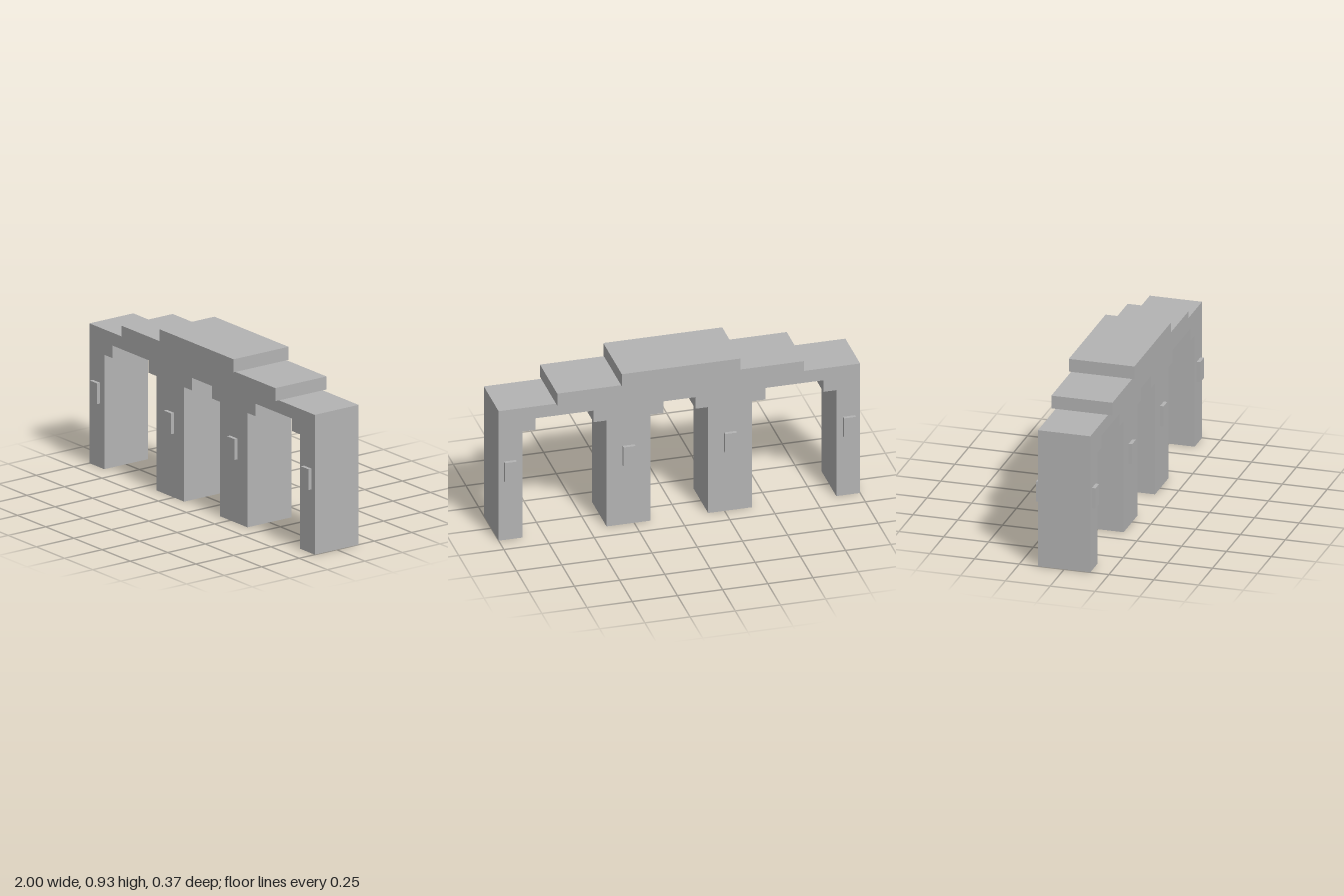
import * as THREE from 'three';

export function createModel() {
  const model = new THREE.Group();
  const stone = new THREE.MeshStandardMaterial({ color: 0xb4b4b4 });
  stone.name = 'stone';

  const add = (name, geometry, x, y, z) => {
    const mesh = new THREE.Mesh(geometry, stone);
    mesh.name = name;
    mesh.position.set(x, y, z);
    model.add(mesh);
  };

  // Arcade: one wall outline with three stepped openings, extruded in depth
  const depth = 0.292, beamTop = 0.782, corbelY = 0.64, archY = 0.71;
  // Each opening: left pier, left corbel, right corbel, right pier
  const openings = [
    [-0.868, -0.796, -0.475, -0.403],
    [-0.159, -0.088, 0.088, 0.159],
    [0.403, 0.475, 0.796, 0.868],
  ];
  const wall = new THREE.Shape();
  wall.moveTo(-1, beamTop);
  wall.lineTo(-1, 0);
  for (const [a, b, c, d] of openings) {
    const steps = [[a, 0], [a, corbelY], [b, corbelY], [b, archY],
      [c, archY], [c, corbelY], [d, corbelY], [d, 0]];
    for (const [x, y] of steps) wall.lineTo(x, y);
  }
  wall.lineTo(1, 0);
  wall.lineTo(1, beamTop);
  wall.closePath();
  add('arcadeWall', new THREE.ExtrudeGeometry(wall, { depth, bevelEnabled: false }), 0, 0, -depth / 2);

  // Stepped slabs on top
  add('lowerSlab', new THREE.BoxGeometry(1.365, 0.073, 0.341), 0, 0.8185, 0);
  add('upperSlab', new THREE.BoxGeometry(0.658, 0.073, 0.366), 0, 0.8915, 0);

  // Plaques on both faces of every pier
  const plaque = new THREE.BoxGeometry(0.066, 0.116, 0.02);
  for (const x of [-0.938, -0.281, 0.281, 0.938]) {
    for (const side of [-1, 1]) add('plaque', plaque, x, 0.416, side * (depth / 2 + 0.01));
  }
  return model;
}
